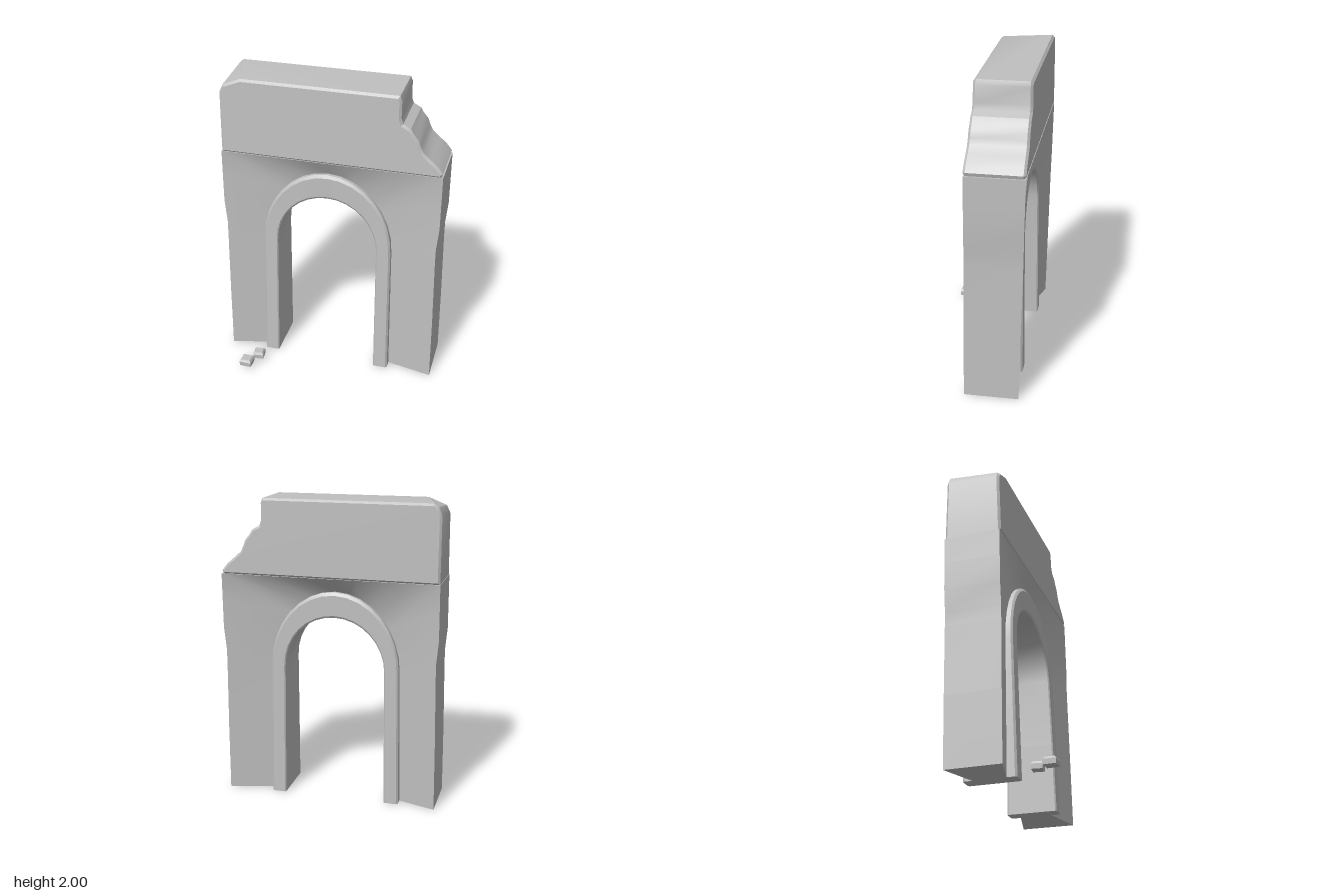
import * as THREE from 'three';
import { toCreasedNormals } from 'three/addons/utils/BufferGeometryUtils.js';

const stone = new THREE.MeshStandardMaterial({ color: 0xc0c0c0 });
stone.name = 'stone';

const lerp = THREE.MathUtils.lerp;
const ARCH_X = -0.024, TOP = 1.508, BEVEL = 0.012;

function part(name, geometry, crease = 0.5) {
  const mesh = new THREE.Mesh(toCreasedNormals(geometry, crease), stone);
  mesh.name = name;
  return mesh;
}

// Stations run up the left leg, over the arch and down the right leg
function makeStations() {
  const legs = [0, 0.45];
  const list = [];
  const leg = (side, y) => {
    const w = lerp(1, 0.975, y / 0.9);
    list.push({
      inner: [ARCH_X + side * 0.34 * w, y],
      band: [ARCH_X + side * 0.437 * w, y],
      rim: [side * lerp(side < 0 ? 0.705 : 0.71, 0.7, y), y],
    });
  };
  legs.forEach((y) => leg(-1, y));
  const steps = 16, corner = 4;
  const sideY = [0.9, 1.0, 1.15, 1.33, TOP];
  for (let i = 0; i <= steps; i++) {
    const a = Math.PI * (1 - i / steps);
    const c = Math.cos(a), s = Math.sin(a);
    const k = Math.min(i, steps - i);
    const side = i < steps / 2 ? -1 : 1;
    const wide = k < 2 ? 0.697 : 0.711;
    const rim = k <= corner
      ? [side * wide, sideY[k]]
      : [lerp(-0.711, 0.711, (i - corner) / (steps - 2 * corner)), TOP];
    list.push({
      inner: [ARCH_X + 0.332 * c, 0.9 + 0.345 * s],
      band: [ARCH_X + 0.426 * c, 0.9 + 0.51 * s],
      rim,
    });
  }
  legs.reverse().forEach((y) => leg(1, y));
  return list;
}

// Closed cross-section: rim, sunken wall, raised band and reveal, front then back
function section({ rim, band, inner }) {
  const t = rim[1] / TOP, b = band[1] / 1.41;
  const lip = lerp(0.062, 0.035, b);
  const half = (rimZ, bandZ, s) => {
    const mix = (f) => [lerp(band[0], inner[0], f), lerp(band[1], inner[1], f)];
    return [
      [...rim, rimZ],
      [...band, bandZ - s * lip],
      [...band, bandZ - s * BEVEL],
      [...mix(0.12), bandZ],
      [...mix(0.92), bandZ],
      [...inner, bandZ - s * 0.008],
    ];
  };
  const front = half(lerp(0.205, 0.18, t), lerp(0.205, 0.155, b), 1);
  const back = half(lerp(-0.148, -0.185, t), lerp(-0.13, -0.125, b), -1);
  return [...front, ...back.reverse()];
}

function archBody() {
  const rings = makeStations().map(section);
  const n = rings[0].length, last = rings.length - 1;
  const index = [];
  for (let i = 0; i < last; i++) {
    for (let j = 0; j < n; j++) {
      const a = i * n + j, b = i * n + (j + 1) % n;
      index.push(a, b, b + n, a, b + n, a + n);
    }
  }
  // Soles of the two legs
  for (let j = 0; j < n / 2 - 1; j++) {
    const [a, b, c, d] = [j, j + 1, n - 2 - j, n - 1 - j];
    const o = last * n;
    index.push(a, d, c, a, c, b, o + a, o + b, o + c, o + a, o + c, o + d);
  }
  const geo = new THREE.BufferGeometry();
  geo.setAttribute('position', new THREE.Float32BufferAttribute(rings.flat(2), 3));
  geo.setIndex(index);
  return geo;
}

// Upper block with a worn, stepped right end and a chipped left corner
function upperBlock() {
  const profile = [
    [-0.708, 1.505], [0.7, 1.505], [0.708, 1.53], [0.672, 1.575], [0.625, 1.615],
    [0.58, 1.655], [0.562, 1.69], [0.548, 1.73], [0.515, 1.77], [0.498, 1.8],
    [0.45, 1.825], [0.438, 1.86], [0.437, 1.97], [0.425, 2.0],
    [-0.63, 2.0], [-0.685, 1.965], [-0.708, 1.915],
  ];
  const shape = new THREE.Shape(profile.map(([x, y]) => new THREE.Vector2(x, y)));
  const geo = new THREE.ExtrudeGeometry(shape, {
    depth: 0.34, bevelEnabled: true, bevelThickness: 0.015,
    bevelSize: 0.014, bevelOffset: -0.014, bevelSegments: 1,
  });
  geo.translate(0, 0, -0.17);
  const p = geo.attributes.position;
  for (let i = 0; i < p.count; i++) {
    const x = p.getX(i), y = p.getY(i), z = p.getZ(i);
    // Front leans back slightly towards the top
    if (z > 0) p.setZ(i, z - 0.018 * (y - 1.5) / 0.5);
    // The chip is wider at the front, smaller at the back
    if (y > 1.97 && x < -0.5) p.setX(i, x + (z > 0 ? 0.06 : -0.03));
    else if (y > 1.88 && x < -0.5) p.setY(i, y + (z > 0 ? -0.012 : 0.015));
  }
  return geo;
}

// Four-sided pebble, widest at half height
function pebble(name, radius, x, z, turn) {
  const geo = new THREE.CylinderGeometry(radius * 0.75, radius * 0.95, 0.046, 4, 2);
  const p = geo.attributes.position;
  for (let i = 0; i < p.count; i++) {
    if (Math.abs(p.getY(i)) < 0.001) {
      p.setXYZ(i, p.getX(i) * 1.18, 0.008, p.getZ(i) * 1.18);
    }
  }
  const mesh = part(name, geo, 0.2);
  mesh.position.set(x, 0.043, z);
  mesh.rotation.y = turn;
  return mesh;
}

export function createModel() {
  const model = new THREE.Group();
  model.name = 'ruinedArch';

  const arch = new THREE.Group();
  arch.name = 'arch';
  arch.add(part('archBody', archBody()), part('upperBlock', upperBlock()));
  arch.position.set(0.025, 0, -0.005);
  arch.rotation.y = -0.653;

  model.add(
    arch,
    pebble('largePebble', 0.057, -0.65, 0.018, 0.1),
    pebble('smallPebble', 0.05, -0.547, -0.025, 0.25),
  );
  return model;
}
